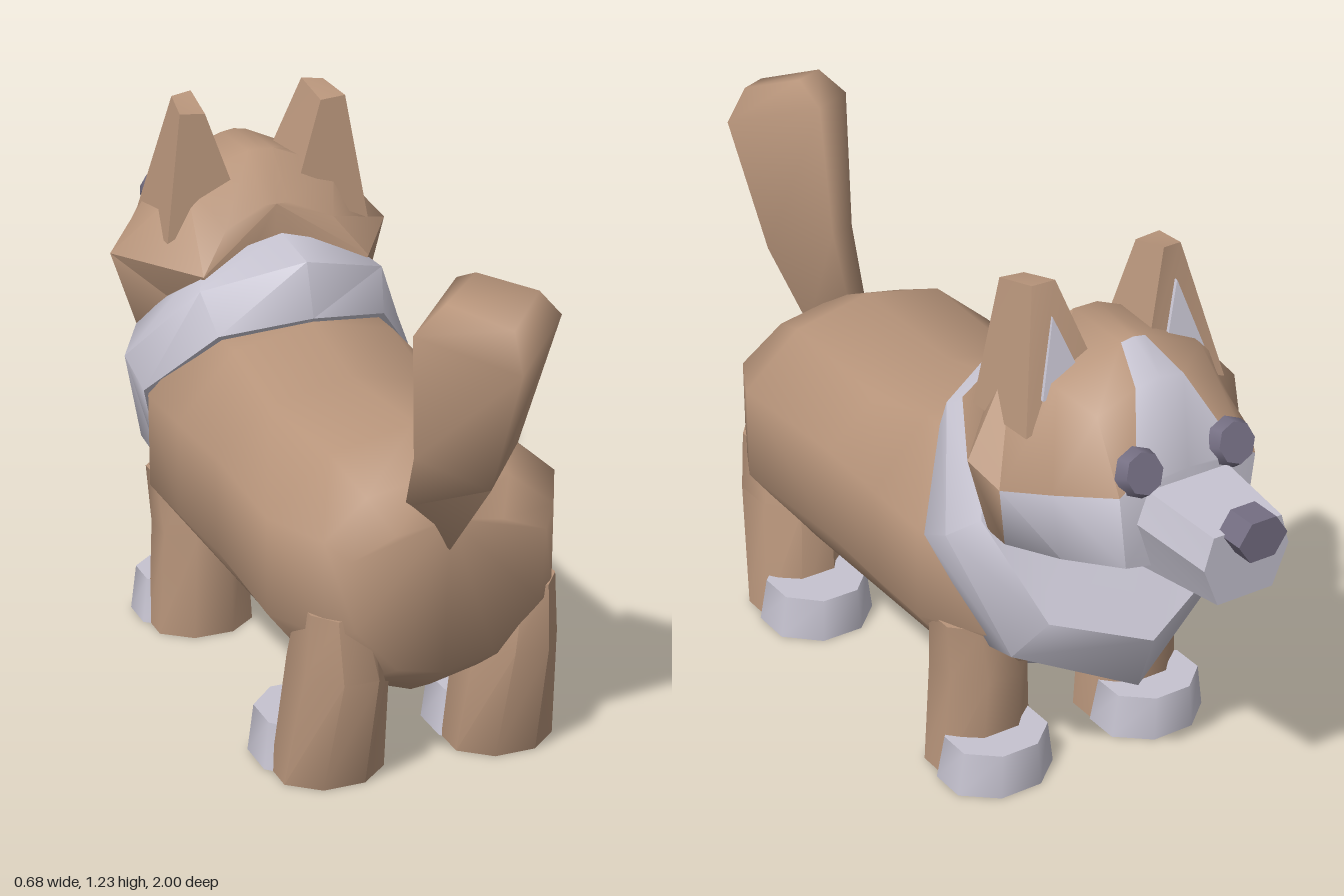
import * as THREE from 'three';
import { toCreasedNormals } from 'three/addons/utils/BufferGeometryUtils.js';

const paint = (name, color) => Object.assign(new THREE.MeshStandardMaterial({ color }), { name });

// Skin a list of closed rings; pick(i, j) selects the material of each quad (caps use j = -1).
function loft(rings, crease, pick = () => 0) {
  const n = rings[0].length, buckets = [[], []];
  for (let i = 0; i < rings.length - 1; i++) {
    for (let j = 0; j < n; j++) {
      const k = (j + 1) % n, a = i * n + j, b = i * n + k;
      buckets[pick(i, j)].push(a, b, b + n, a, b + n, a + n);
    }
  }
  const last = (rings.length - 1) * n;
  for (let j = 1; j < n - 1; j++) {
    buckets[pick(0, -1)].push(0, j + 1, j);
    buckets[pick(rings.length - 1, -1)].push(last, last + j, last + j + 1);
  }
  const g = new THREE.BufferGeometry();
  g.setAttribute('position', new THREE.Float32BufferAttribute(rings.flat(2), 3));
  g.setIndex(buckets.flat());
  g.addGroup(0, buckets[0].length, 0);
  if (buckets[1].length) g.addGroup(buckets[0].length, buckets[1].length, 1);
  return toCreasedNormals(g, crease);
}

// Complete a half ring (top centre, left side, bottom centre) by mirroring it.
const whole = (half) => [...half, ...half.slice(1, -1).reverse().map(([x, y, z]) => [-x, y, z])];
// Mirror full rings to the other side, keeping them outward facing.
const flip = (rings) => rings.map((r) => r.map(([x, y, z]) => [-x, y, z]).reverse());
// Eight-sided horizontal ring.
const oct = (x, y, z, rx, rz) => Array.from({ length: 8 }, (_, i) => {
  const a = (i + 0.5) * Math.PI / 4;
  return [x + rx * 1.08 * Math.cos(a), y, z - rz * 1.08 * Math.sin(a)];
});

export function createModel() {
  const model = new THREE.Group();
  const tan = paint('tan fur', 0xb8957b);
  const pale = paint('pale fur', 0xc6c3d0);
  const dark = paint('dark grey', 0x746e82);
  const add = (name, geometry, material) => {
    const mesh = new THREE.Mesh(geometry, material);
    mesh.name = name;
    model.add(mesh);
    return mesh;
  };
  const addPair = (name, rings, crease, material) => {
    add('left' + name, loft(rings, crease), material);
    add('right' + name, loft(flip(rings), crease), material);
  };

  // Body, with a pale belly strip
  const barrel = (z, top, w) => [[0, top, z], [0.19, top - 0.04, z], [w, 0.6, z],
    [w, 0.38, z], [0.2, 0.21, z], [0, 0.14, z]];
  const body = [
    [[0, 0.62, 0.68], [0.12, 0.6, 0.68], [0.22, 0.56, 0.68], [0.21, 0.4, 0.68], [0.11, 0.29, 0.67], [0, 0.26, 0.66]],
    [[0, 0.7, 0.62], [0.16, 0.67, 0.62], [0.26, 0.59, 0.63], [0.26, 0.38, 0.63], [0.16, 0.25, 0.61], [0, 0.2, 0.59]],
    barrel(0.49, 0.76, 0.33),
    barrel(0.15, 0.74, 0.315).map(([x, y, z], i) => [x, i > 4 ? 0.16 : y, z]),
    barrel(-0.06, 0.79, 0.325),
    barrel(-0.24, 0.79, 0.33),
    [[0, 0.7, -0.44], [0.14, 0.65, -0.44], [0.25, 0.55, -0.44], [0.25, 0.4, -0.44], [0.15, 0.31, -0.44], [0, 0.27, -0.44]],
  ].map(whole);
  add('body', loft(body, 1.2, (i, j) => (i >= 2 && (j === 4 || j === 5) ? 1 : 0)), [tan, pale]);

  // Neck ruff
  const ruff = [
    [[0, 0.8, -0.06], [0.2, 0.76, -0.13], [0.33, 0.6, -0.27], [0.25, 0.36, -0.4], [0, 0.27, -0.45]],
    [[0, 0.92, -0.1], [0.22, 0.85, -0.19], [0.34, 0.65, -0.37], [0.26, 0.39, -0.5], [0, 0.28, -0.6]],
    [[0, 0.94, -0.25], [0.18, 0.88, -0.29], [0.29, 0.7, -0.43], [0.22, 0.5, -0.58], [0, 0.42, -0.65]],
    [[0, 0.85, -0.3], [0.15, 0.8, -0.33], [0.23, 0.7, -0.42], [0.18, 0.61, -0.49], [0, 0.57, -0.53]],
  ].map(whole);
  add('neckRuff', loft(ruff, 0.9), pale);

  // Head, with pale cheeks, chin and forehead blaze
  const head = [
    [[0, 1.0, -0.28], [0.03, 1.0, -0.28], [0.13, 0.96, -0.26], [0.2, 0.87, -0.22], [0.16, 0.72, -0.28], [0, 0.66, -0.32]],
    [[0, 1.1, -0.38], [0.03, 1.1, -0.38], [0.18, 1.04, -0.38], [0.34, 0.87, -0.455], [0.28, 0.68, -0.44], [0, 0.57, -0.48]],
    [[0, 1.1, -0.55], [0.03, 1.095, -0.55], [0.18, 1.03, -0.54], [0.305, 0.82, -0.52], [0.265, 0.66, -0.48], [0, 0.56, -0.53]],
    [[0, 1.05, -0.645], [0.06, 1.04, -0.645], [0.15, 1.0, -0.64], [0.25, 0.845, -0.63], [0.22, 0.68, -0.62], [0, 0.6, -0.64]],
    [[0, 0.89, -0.75], [0.13, 0.885, -0.75], [0.155, 0.88, -0.75], [0.17, 0.87, -0.75], [0.15, 0.7, -0.75], [0, 0.67, -0.75]],
  ].map(whole);
  const paleFace = new Set([-1, 0, 3, 4, 5, 6, 9]);
  add('head', loft(head, 0.9, (i, j) => (i >= 2 && paleFace.has(j) ? 1 : 0)), [tan, pale]);

  // Muzzle and nose
  const snout = (z, w, top, bottom) => whole([[0, top, z], [w * 0.8, top, z], [w, top - 0.07, z],
    [w * 0.65, bottom, z], [0, bottom, z]]);
  add('muzzle', loft([snout(-0.7, 0.13, 0.87, 0.665), snout(-0.95, 0.105, 0.85, 0.69)], 0.5), pale);
  const nose = add('nose', new THREE.CylinderGeometry(0.06, 0.06, 0.07, 6).rotateY(Math.PI / 6).toNonIndexed(), dark);
  nose.geometry.computeVertexNormals();
  nose.geometry.rotateX(-Math.PI / 2);
  nose.geometry.rotateZ(Math.PI / 2 * Math.round(0));
  nose.scale.set(1, 0.85, 1);
  nose.position.set(0, 0.845, -0.965);

  // Eyes
  for (const s of [1, -1]) {
    const eye = add(s > 0 ? 'leftEye' : 'rightEye', new THREE.CylinderGeometry(0.045, 0.055, 0.03, 8), dark);
    eye.rotation.x = -1.23;
    eye.position.set(s * 0.115, 0.91, -0.745);
  }

  // Ears and their pale inner faces
  addPair('Ear', [
    [[0.245, 0.92, -0.33], [0.25, 0.93, -0.535], [0.05, 0.99, -0.525], [0.07, 1.0, -0.34]],
    [[0.2, 1.21, -0.36], [0.185, 1.225, -0.455], [0.135, 1.23, -0.465], [0.14, 1.205, -0.36]],
  ], 0.5, tan);
  const inner = [[0.155, 1.16, -0.479], [0.205, 1.0, -0.52], [0.095, 1.0, -0.522]];
  addPair('InnerEar', [inner, inner.map(([x, y, z]) => [x, y, z - 0.008])], 0.5, pale);

  // Tail, a diamond section flaring upwards
  add('tail', loft([
    [[0.08, 0.64, 0.63], [0, 0.7, 0.58], [-0.08, 0.64, 0.63], [0, 0.55, 0.68]],
    [[0.115, 0.8, 0.75], [0, 0.85, 0.645], [-0.115, 0.8, 0.75], [0, 0.76, 0.87]],
    [[0.16, 1.1, 0.84], [0, 1.15, 0.69], [-0.16, 1.1, 0.84], [0, 1.05, 1.0]],
    [[0.1, 1.165, 0.86], [0, 1.19, 0.78], [-0.1, 1.165, 0.86], [0, 1.13, 0.96]],
  ], 1.7), tan);

  // Legs and paws
  addPair('BackLeg', [oct(0.2, 0, 0.505, 0.115, 0.095), oct(0.195, 0.28, 0.55, 0.095, 0.13),
    oct(0.21, 0.42, 0.57, 0.07, 0.09)], 0.9, tan);
  addPair('FrontLeg', [oct(0.2, 0, -0.275, 0.115, 0.09), oct(0.2, 0.25, -0.28, 0.1, 0.105),
    oct(0.22, 0.39, -0.29, 0.09, 0.09)], 0.9, tan);
  for (const [name, z, r] of [['BackPaw', 0.415, 0.12], ['FrontPaw', -0.355, 0.105]]) {
    addPair(name, [oct(0.205, 0, z, 0.125, r), oct(0.205, 0.105, z - 0.005, 0.11, r - 0.01)], 0.9, pale);
  }
  return model;
}
